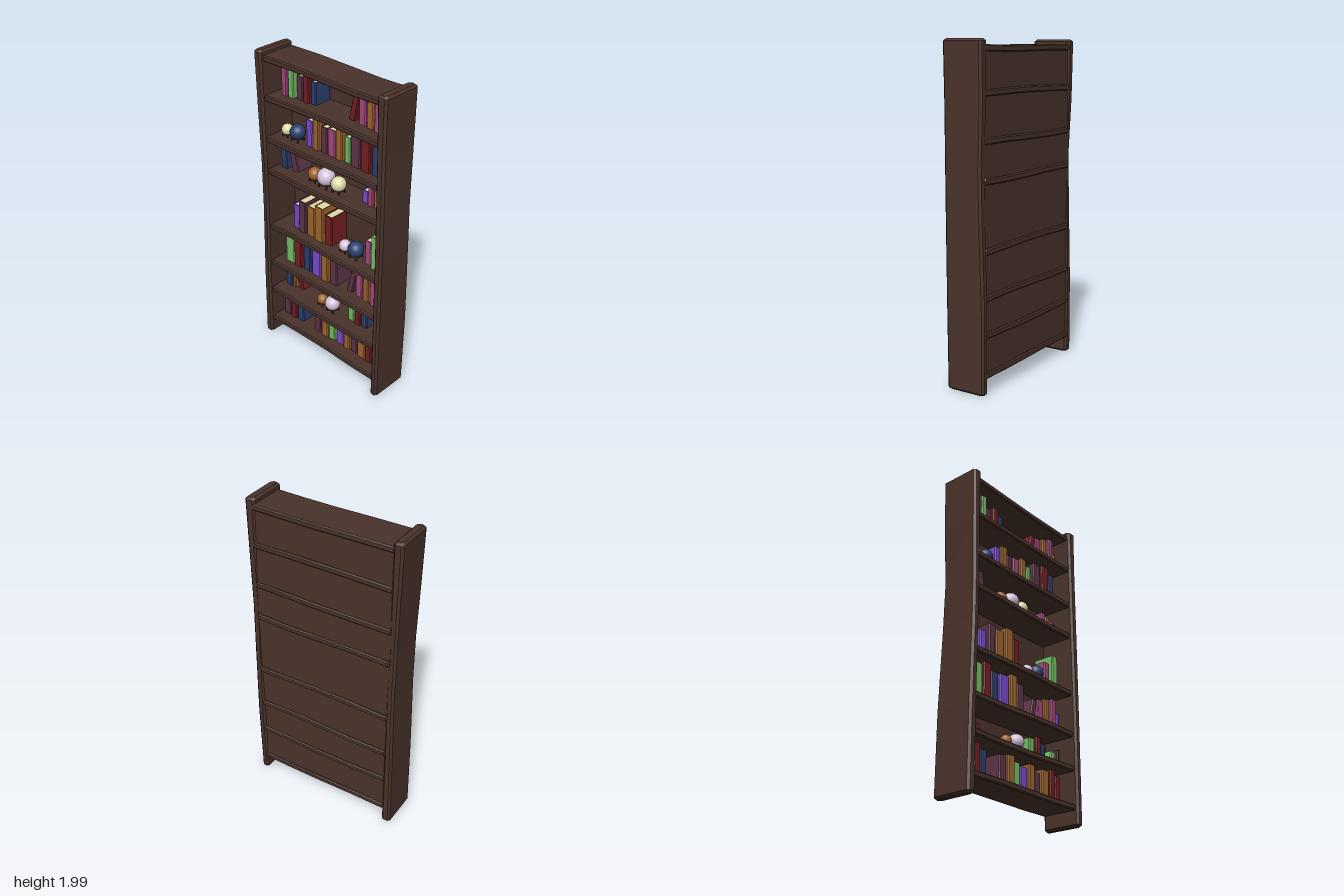
import * as THREE from 'three';

const mat = (name, color, flatShading = false) => {
  const m = new THREE.MeshStandardMaterial({ color, flatShading });
  m.name = name;
  return m;
};

export function createModel() {
  const root = new THREE.Group();
  root.name = 'bookcase';
  const M = {
    wood: mat('dark wood', 0x4a332b),
    pink: mat('pink', 0xa8487f),
    green: mat('green', 0x74c067),
    plum: mat('plum', 0x5e3448),
    red: mat('red', 0x741f23),
    navy: mat('navy', 0x2b3f70),
    orange: mat('orange', 0xa0652a),
    violet: mat('violet', 0x7c4bd0),
    cream: mat('cream', 0xe0dcaa),
    lilac: mat('lilac', 0xd6c2da),
  };
  const add = (parent, name, geo, m) => {
    const mesh = new THREE.Mesh(geo, m);
    mesh.name = name;
    parent.add(mesh);
    return mesh;
  };

  // Chamfered timber lofted along y; each station is [y, x0, x1, z0, z1].
  function timber(stations, c) {
    const n = stations.length, a = stations[0], b = stations[n - 1];
    const inset = (s, y) => [y, s[1] + c, s[2] - c, s[3] + c, s[4] - c];
    const all = [inset(a, a[0]), [a[0] + c, ...a.slice(1)], ...stations.slice(1, -1),
      [b[0] - c, ...b.slice(1)], inset(b, b[0])];
    const rings = all.map(([y, x0, x1, z0, z1]) => [
      [x0 + c, z0], [x0, z0 + c], [x0, z1 - c], [x0 + c, z1],
      [x1 - c, z1], [x1, z1 - c], [x1, z0 + c], [x1 - c, z0],
    ].map(([x, z]) => [x, y, z]));
    const pos = [];
    const tri = (...p) => p.forEach(v => pos.push(...v));
    for (let i = 0; i < rings.length - 1; i++) for (let j = 0; j < 8; j++) {
      const k = (j + 1) % 8, p = rings[i], q = rings[i + 1];
      tri(p[j], p[k], q[k]);
      tri(p[j], q[k], q[j]);
    }
    const first = rings[0], last = rings[rings.length - 1];
    for (let j = 1; j < 7; j++) {
      tri(first[0], first[j + 1], first[j]);
      tri(last[0], last[j], last[j + 1]);
    }
    const g = new THREE.BufferGeometry();
    g.setAttribute('position', new THREE.Float32BufferAttribute(pos, 3));
    g.computeVertexNormals();
    return g;
  }

  // Slightly crooked side posts
  add(root, 'rightPost', timber([
    [0.015, -0.495, -0.438, -0.12, 0.134], [0.5, -0.49, -0.437, -0.122, 0.134],
    [1.0, -0.478, -0.43, -0.115, 0.133], [1.3, -0.478, -0.43, -0.108, 0.133],
    [1.65, -0.488, -0.434, -0.12, 0.134], [2.0, -0.495, -0.435, -0.122, 0.135],
  ], 0.013), M.wood);
  const left = timber([
    [0.015, 0.434, 0.483, -0.12, 0.134], [0.5, 0.436, 0.487, -0.126, 0.134],
    [1.0, 0.436, 0.49, -0.115, 0.133], [1.3, 0.434, 0.49, -0.11, 0.133],
    [1.65, 0.432, 0.488, -0.12, 0.134], [2.0, 0.427, 0.492, -0.122, 0.135],
  ], 0.013);
  add(root, 'leftPost', left, M.wood);

  // Back panel
  add(root, 'backPanel', new THREE.BoxGeometry(0.89, 1.83, 0.012), M.wood).position.set(0, 1.04, -0.105);

  // Horizontal boards with a gentle waviness; lofted along y, then laid along x
  const boards = [0.15, 0.378, 0.595, 0.865, 1.25, 1.468, 1.733, 1.968];
  boards.forEach((top, i) => {
    const stations = [-0.445, -0.2, 0.05, 0.25, 0.45].map((x, j) => {
      const dy = 0.004 * Math.sin(j * 1.4 + i * 1.9), dz = 0.003 * Math.cos(j * 1.7 + i);
      return [x, -top - dy, -top - dy + 0.037, -0.122 + dz, 0.112 + dz];
    });
    const name = i === 0 ? 'bottomBoard' : i === 7 ? 'topBoard' : 'shelf';
    add(root, name, timber(stations, 0.007).rotateZ(-Math.PI / 2).rotateX(0), M.wood).scale.set(1, 1, 1);
  });

  // Book: U-shaped cover with a softened spine, plus a page block
  function book(floor, color, x, w, h, lean = 0) {
    const g = new THREE.Group();
    g.name = 'book';
    const d = 0.07 + h * 0.3, a = w / 2, t = 0.005, c = 0.006;
    const s = new THREE.Shape([
      [-a, 0], [-a, -d + c], [-a + c, -d], [a - c, -d], [a, -d + c], [a, 0],
      [a - t, 0], [a - t, -d + t + 0.003], [-a + t, -d + t + 0.003], [-a + t, 0],
    ].map(p => new THREE.Vector2(...p)));
    const cover = new THREE.ExtrudeGeometry(s, { depth: h, bevelEnabled: false });
    add(g, 'cover', cover.rotateX(-Math.PI / 2), M[color]);
    add(g, 'pages', new THREE.BoxGeometry(w - 2 * t, h - 0.01, d - 0.012), M.cream)
      .position.set(0, h / 2, d / 2 - 0.002);
    // Lean positive tips the top towards +x, keeping the lowest corner on the shelf
    g.rotation.z = -lean;
    g.position.set(x - Math.sin(lean) * h / 2, floor + Math.abs(Math.sin(lean)) * a, -0.09);
    root.add(g);
  }
  const row = (floor, books) => books.forEach(b => book(floor, ...b));

  row(1.733, [
    ['pink', -0.352, 0.042, 0.2], ['green', -0.299, 0.042, 0.195], ['plum', -0.243, 0.046, 0.142],
    ['red', -0.185, 0.046, 0.168], ['navy', -0.135, 0.042, 0.137], ['red', 0.172, 0.042, 0.146, 0.22],
    ['pink', 0.235, 0.05, 0.152], ['orange', 0.296, 0.046, 0.173], ['pink', 0.352, 0.043, 0.195],
    ['orange', 0.405, 0.05, 0.12],
  ]);
  row(1.468, [
    ['violet', -0.164, 0.048, 0.164], ['orange', -0.106, 0.048, 0.19], ['plum', -0.048, 0.048, 0.158],
    ['pink', 0.01, 0.056, 0.163], ['orange', 0.074, 0.048, 0.185], ['green', 0.13, 0.043, 0.158],
    ['plum', 0.201, 0.07, 0.2], ['red', 0.28, 0.068, 0.22], ['navy', 0.349, 0.057, 0.19],
  ]);
  row(1.25, [
    ['navy', -0.376, 0.048, 0.185], ['plum', -0.302, 0.052, 0.15, -0.2], ['violet', 0.249, 0.047, 0.075],
    ['pink', 0.296, 0.037, 0.118], ['orange', 0.34, 0.037, 0.108], ['pink', 0.384, 0.038, 0.095],
    ['plum', 0.425, 0.024, 0.085, -0.28],
  ]);
  row(0.865, [
    ['violet', -0.283, 0.053, 0.163], ['plum', -0.222, 0.058, 0.215], ['orange', -0.15, 0.065, 0.205],
    ['orange', -0.075, 0.068, 0.237], ['red', -0.005, 0.058, 0.2], ['pink', 0.301, 0.048, 0.158],
    ['green', 0.362, 0.053, 0.215],
  ]);
  row(0.595, [
    ['green', -0.336, 0.073, 0.21], ['red', -0.262, 0.064, 0.23], ['navy', -0.19, 0.058, 0.2],
    ['violet', -0.108, 0.074, 0.205], ['orange', -0.032, 0.058, 0.228], ['plum', 0.037, 0.058, 0.195],
    ['plum', 0.172, 0.042, 0.146, 0.22], ['pink', 0.235, 0.05, 0.16], ['orange', 0.293, 0.043, 0.18],
    ['pink', 0.352, 0.043, 0.195], ['violet', 0.405, 0.05, 0.125],
  ]);
  row(0.378, [
    ['navy', -0.38, 0.048, 0.13], ['orange', -0.337, 0.027, 0.107], ['red', -0.288, 0.038, 0.085, -0.28],
    ['green', 0.164, 0.048, 0.12], ['red', 0.22, 0.043, 0.14], ['navy', 0.27, 0.048, 0.113],
    ['green', 0.37, 0.045, 0.088, 0.25], ['plum', 0.42, 0.022, 0.112],
  ]);
  row(0.15, [
    ['plum', -0.386, 0.058, 0.175], ['red', -0.323, 0.048, 0.19], ['navy', -0.267, 0.053, 0.165],
    ['plum', -0.111, 0.058, 0.175], ['orange', -0.042, 0.058, 0.19], ['green', 0.013, 0.053, 0.163],
    ['violet', 0.08, 0.058, 0.152], ['orange', 0.143, 0.048, 0.18], ['plum', 0.201, 0.048, 0.148],
    ['orange', 0.267, 0.063, 0.175], ['red', 0.328, 0.048, 0.19], ['red', 0.386, 0.048, 0.168],
  ]);

  // Globes resting on little ring stands with four feet
  function globe(floor, color, x, r) {
    const g = new THREE.Group();
    g.name = 'globe';
    add(g, 'ball', new THREE.SphereGeometry(r, 24, 16), M[color]).position.y = r + 0.008;
    const ring = new THREE.TorusGeometry(r * 0.72, r * 0.08, 6, 20).rotateX(Math.PI / 2);
    add(g, 'standRing', ring, M.wood).position.y = r * 0.32 + 0.006;
    for (let i = 0; i < 4; i++) {
      const t = Math.PI / 4 + i * Math.PI / 2, h = r * 0.32 + 0.006;
      add(g, 'standFoot', new THREE.CylinderGeometry(r * 0.08, r * 0.12, h, 6), M.wood)
        .position.set(Math.cos(t) * r * 0.76, h / 2, Math.sin(t) * r * 0.76);
    }
    g.position.set(x, floor, 0.02);
    root.add(g);
  }
  globe(1.468, 'cream', -0.352, 0.035);
  globe(1.468, 'navy', -0.266, 0.047);
  globe(1.25, 'orange', -0.13, 0.041);
  globe(1.25, 'lilac', -0.037, 0.055);
  globe(1.25, 'cream', 0.061, 0.046);
  globe(0.865, 'lilac', 0.115, 0.037);
  globe(0.865, 'navy', 0.202, 0.049);
  globe(0.378, 'orange', -0.074, 0.034);
  globe(0.378, 'lilac', 0.014, 0.048);

  return root;
}
